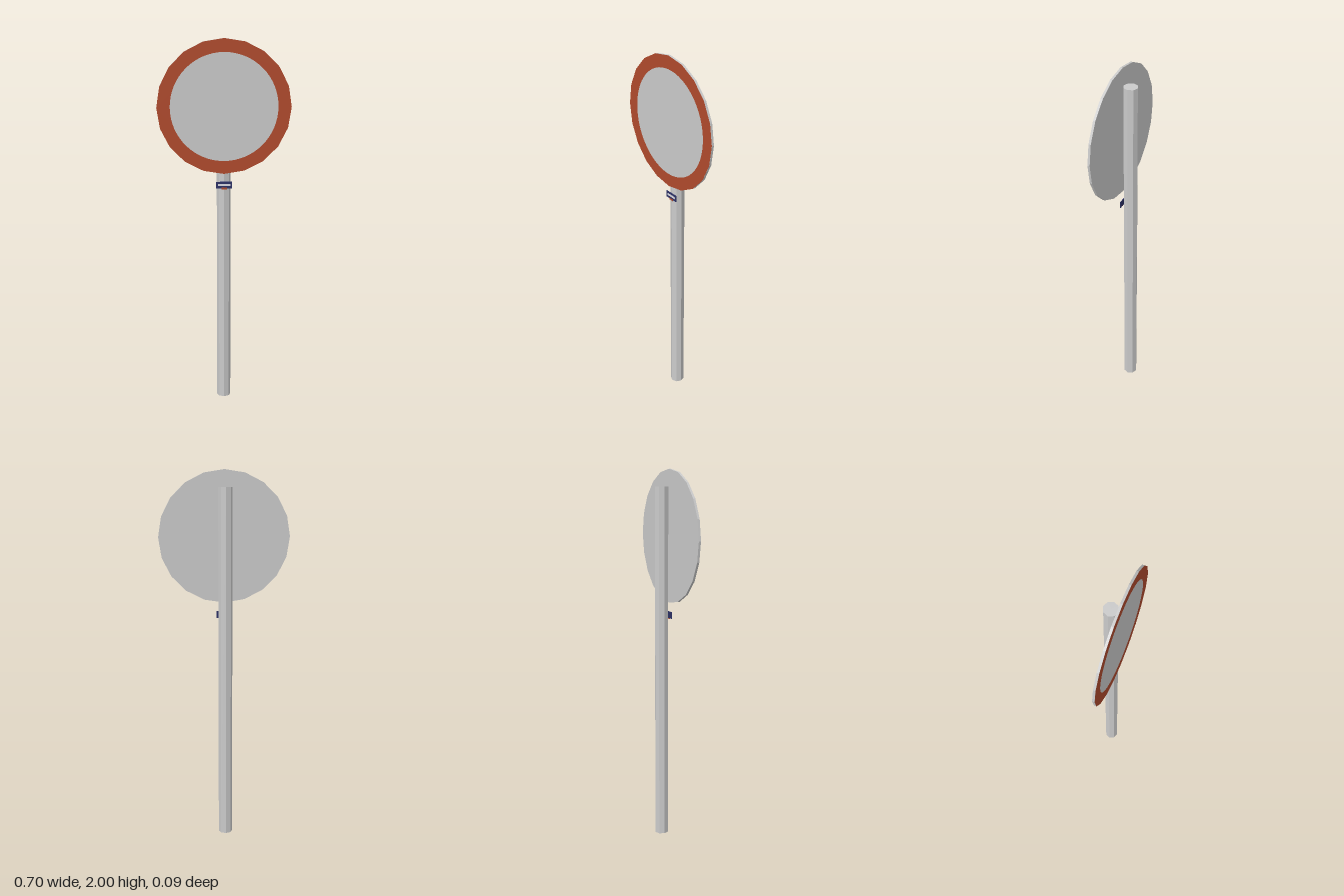
import * as THREE from 'three';

export function createModel() {
  const paint = (name, color) => new THREE.MeshStandardMaterial({ name, color });
  const grey = paint('galvanised grey', 0xcacaca);
  const red = paint('signal red', 0xb04a2c);
  const blue = paint('label blue', 0x2c3166);
  const white = paint('label white', 0xdcdce4);

  const model = new THREE.Group();
  model.name = 'roundRoadSign';
  const add = (name, geometry, material, x, y, z) => {
    const mesh = new THREE.Mesh(geometry, material);
    mesh.name = name;
    mesh.position.set(x, y, z);
    model.add(mesh);
  };
  // Low-poly round stock with hard facets
  const faceted = (radius, height, sides) => {
    const g = new THREE.CylinderGeometry(radius, radius, height, sides).toNonIndexed();
    g.computeVertexNormals();
    return g;
  };

  // Eight-sided pole
  add('pole', faceted(0.0375, 1.91, 8), grey, 0, 0.955, -0.01);

  // Twenty-sided sign plate
  add('signPlate', faceted(0.35, 0.012, 20).rotateX(Math.PI / 2), grey, 0, 1.65, 0.0385);

  // Painted border: faceted outside, round inside
  const corners = Array.from({ length: 20 }, (_, i) => {
    const a = (i / 20) * Math.PI * 2;
    return new THREE.Vector2(0.35 * Math.cos(a), 0.35 * Math.sin(a));
  });
  const border = new THREE.Shape(corners);
  border.holes.push(new THREE.Path().absarc(0, 0, 0.281, 0, Math.PI * 2, true));
  add('redBorder', new THREE.ShapeGeometry(border, 32), red, 0, 1.65, 0.0452);

  // Small label on the pole, with plain painted patches
  add('label', new THREE.BoxGeometry(0.086, 0.036, 0.003), blue, 0, 1.236, 0.0295);
  add('labelStripe', new THREE.BoxGeometry(0.066, 0.012, 0.001), white, 0, 1.237, 0.0313);
  add('labelRedPatch', new THREE.BoxGeometry(0.03, 0.01, 0.001), red, 0, 1.217, 0.0313);

  return model;
}
